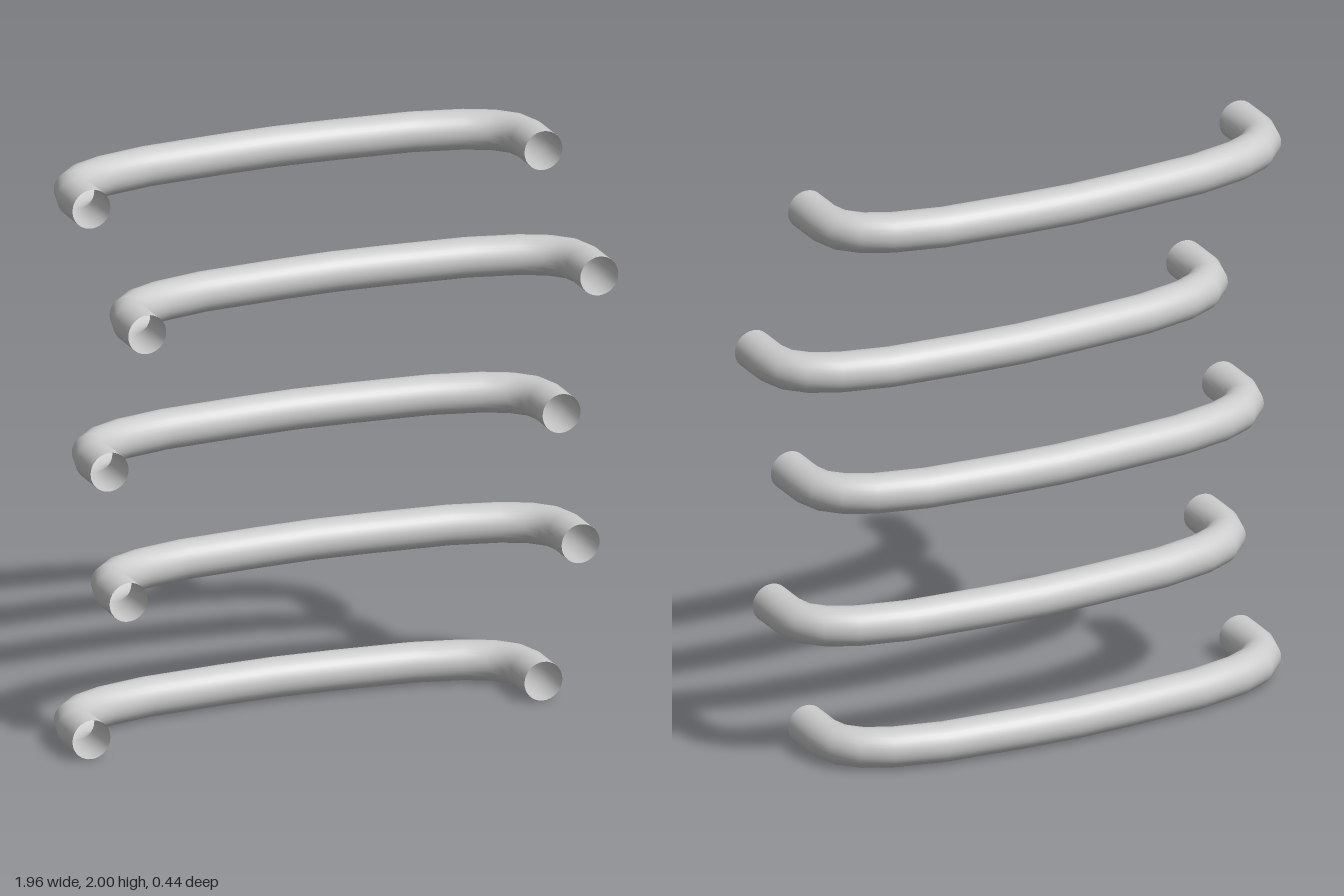
import * as THREE from 'three';

const RADIUS = 0.068;

// Right half of the rung's centre line (x, z), from the middle to the open end
const HALF = [[0, -0.153], [0.195, -0.145], [0.475, -0.124], [0.645, -0.085],
  [0.735, -0.042], [0.79, 0.015], [0.81, 0.09], [0.81, 0.22]];

// Straight-segment path that puts one tube ring on each bend
class BentPath extends THREE.Curve {
  constructor(points) {
    super();
    this.points = points;
  }
  getPointAt(u, target = new THREE.Vector3()) {
    return target.copy(this.points[Math.round(u * (this.points.length - 1))]);
  }
  getTangentAt(u, target = new THREE.Vector3()) {
    const p = this.points, last = p.length - 1, i = Math.round(u * last);
    target.set(0, 0, 0);
    if (i > 0) target.add(p[i].clone().sub(p[i - 1]).normalize());
    if (i < last) target.add(p[i + 1].clone().sub(p[i]).normalize());
    return target.normalize();
  }
}

export function createModel() {
  const group = new THREE.Group();
  group.name = 'ladderRungs';
  const material = new THREE.MeshStandardMaterial({ color: 0xcccccc, side: THREE.DoubleSide });

  // Mirror the half path into one bowed handle, open at both ends
  const left = HALF.slice(1).reverse().map(([x, z]) => [-x, z]);
  const points = [...left, ...HALF].map(([x, z]) => new THREE.Vector3(x, 0, z));
  const geometry = new THREE.TubeGeometry(new BentPath(points), points.length - 1, RADIUS, 32, false);

  // Evenly stacked rungs, each shifted sideways
  const shifts = [-0.1, 0.033, -0.035, 0.1, -0.1];
  shifts.forEach((x, i) => {
    const rung = new THREE.Mesh(geometry, material);
    rung.name = `rung${i + 1}`;
    rung.position.set(x, RADIUS + i * (2 - 2 * RADIUS) / 4, 0);
    group.add(rung);
  });
  return group;
}
